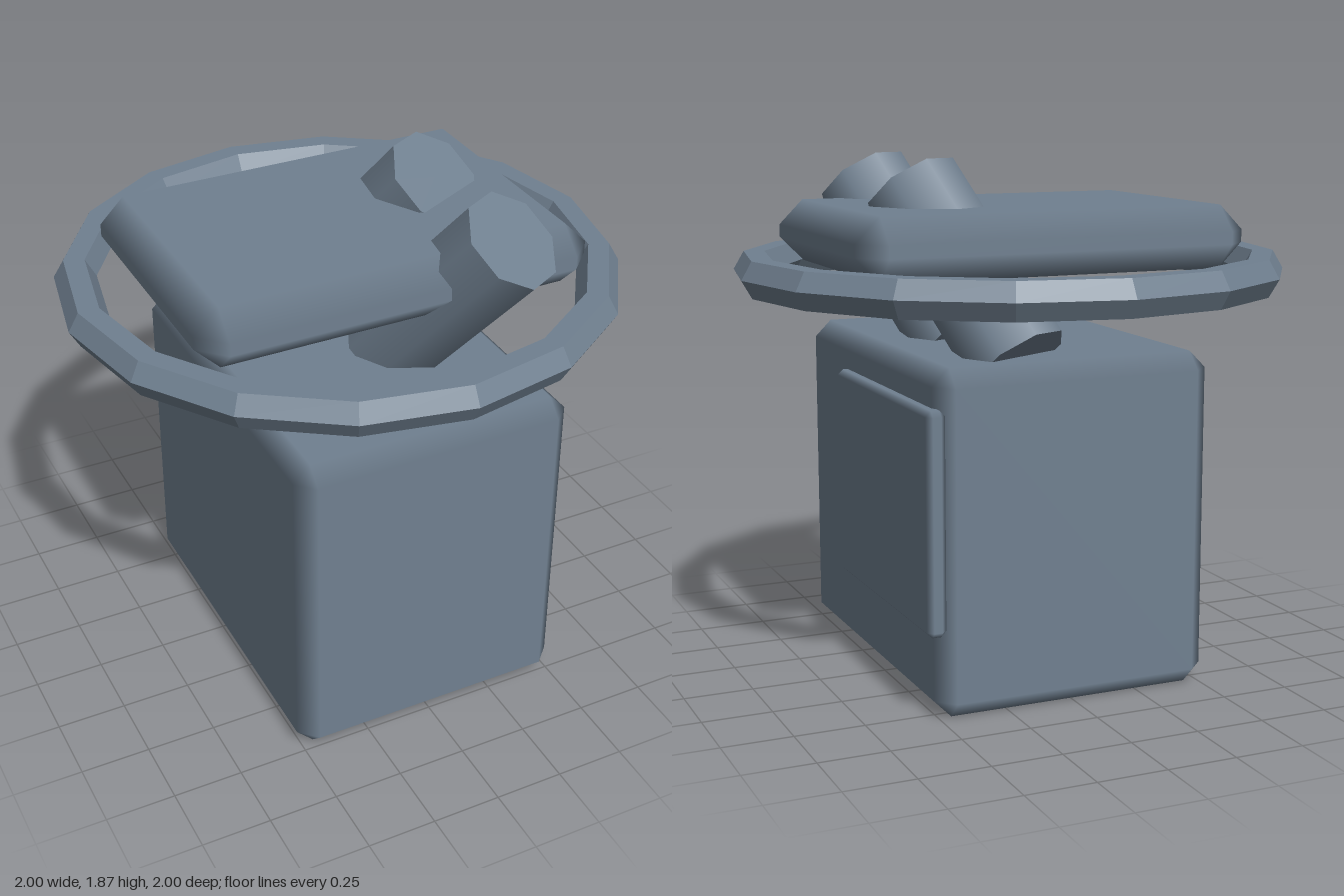
import * as THREE from 'three';
import { ConvexGeometry } from 'three/addons/geometries/ConvexGeometry.js';

// Box with single chamfers whose shading blends between the flat faces
function chamferBox(w, h, d, bevel) {
  const half = [w / 2, h / 2, d / 2];
  const points = [];
  for (let axis = 0; axis < 3; axis++) {
    for (const sx of [-1, 1]) for (const sy of [-1, 1]) for (const sz of [-1, 1]) {
      const s = [sx, sy, sz];
      points.push(new THREE.Vector3(...half.map((v, i) => s[i] * (i === axis ? v : v - bevel))));
    }
  }
  const geo = new ConvexGeometry(points);
  const pos = geo.attributes.position;
  const normal = geo.attributes.normal;
  for (let i = 0; i < pos.count; i++) {
    const p = [pos.getX(i), pos.getY(i), pos.getZ(i)];
    const n = p.map((v, k) => (Math.abs(v) > half[k] - bevel / 2 ? Math.sign(v) : 0));
    normal.setXYZ(i, ...n);
  }
  return geo;
}

export function createModel() {
  const group = new THREE.Group();
  const slate = new THREE.MeshStandardMaterial({ color: 0x708090 });
  slate.name = 'slate grey';

  const add = (name, geo, x, y, z) => {
    const mesh = new THREE.Mesh(geo, slate);
    mesh.name = name;
    mesh.position.set(x, y, z);
    group.add(mesh);
    return mesh;
  };

  // Main block and the thin panel on its left side
  add('body', chamferBox(1.03, 1.21, 1.375, 0.062), 0, 0.605, 0.087);
  add('sidePanel', chamferBox(0.07, 0.775, 0.945, 0.02), 0.52, 0.69, -0.128);

  // Floating lid
  add('lid', chamferBox(1.46, 0.225, 1.035, 0.09), 0, 1.592, 0.018);

  // Faceted hoop around the lid
  const hoop = new THREE.TorusGeometry(0.925, 0.075, 6, 16).toNonIndexed();
  hoop.computeVertexNormals();
  add('hoop', hoop, 0, 1.465, 0).rotation.x = Math.PI / 2;

  // Two slanted pegs passing through the lid
  for (const [name, z] of [['frontPeg', 0.346], ['rearPeg', -0.179]]) {
    add(name, new THREE.CylinderGeometry(0.185, 0.185, 0.75, 8), 0.249, 1.475, z)
      .rotation.set(0.65, 0, -0.3);
  }

  return group;
}
